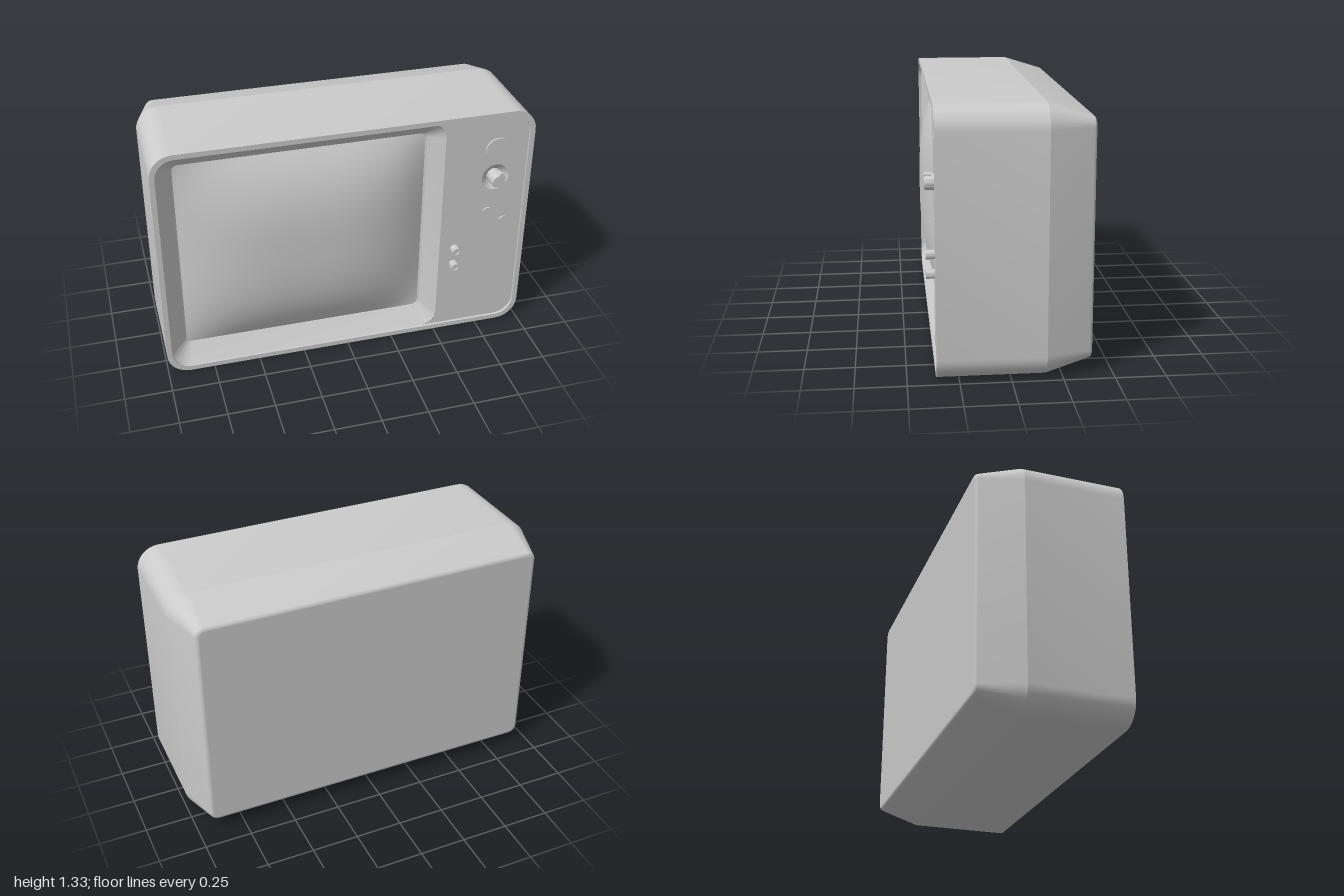
import * as THREE from 'three';
import { toCreasedNormals } from 'three/addons/utils/BufferGeometryUtils.js';

const grey = new THREE.MeshStandardMaterial({ color: 0xcccccc });
const ARC = 8; // segments per rounded corner

// Rounded rectangle outline, counter-clockwise; right and left corners may differ in radius
function outline(x0, x1, y0, y1, rRight, rLeft = rRight) {
  const corners = [
    [x1 - rRight, y0 + rRight, rRight, -90], [x1 - rRight, y1 - rRight, rRight, 0],
    [x0 + rLeft, y1 - rLeft, rLeft, 90], [x0 + rLeft, y0 + rLeft, rLeft, 180],
  ];
  const pts = [];
  for (const [cx, cy, r, start] of corners) {
    for (let i = 0; i <= ARC; i++) {
      const a = THREE.MathUtils.degToRad(start + 90 * i / ARC);
      pts.push(new THREE.Vector2(cx + r * Math.cos(a), cy + r * Math.sin(a)));
    }
  }
  return pts;
}

// Skin through equal-length outlines, each given as { pts, z }
function loft(sections) {
  const n = sections[0].pts.length, pos = [], index = [];
  for (const { pts, z } of sections) for (const p of pts) pos.push(p.x, p.y, z);
  for (let s = 0; s < sections.length - 1; s++) {
    for (let i = 0; i < n; i++) {
      const a = s * n + i, b = s * n + (i + 1) % n;
      index.push(a, b, b + n, a, b + n, a + n);
    }
  }
  const g = new THREE.BufferGeometry();
  g.setAttribute('position', new THREE.Float32BufferAttribute(pos, 3));
  g.setIndex(index);
  return toCreasedNormals(g, 0.25);
}

const TOP = 1.33, PANEL_Z = 0.345;

// Outline of the case shrunk by an inset
const caseSection = (inset, r, z) => ({ pts: outline(-1 + inset, 1 - inset, inset, TOP - inset, r), z });

export function createModel() {
  const model = new THREE.Group();
  const add = (name, geometry, parent = model) => {
    const mesh = new THREE.Mesh(geometry, grey);
    mesh.name = name;
    parent.add(mesh);
    return mesh;
  };

  // Case: rounded back edge, tapered rear, straight body, flat front rim and its inner wall
  const sections = [];
  for (let i = 0; i <= 6; i++) {
    const a = (i / 6) * 1.28;
    sections.push(caseSection(0.088 - 0.022 * Math.sin(a), 0.035 + 0.015 * i / 6, -0.378 - 0.022 * Math.cos(a)));
  }
  sections.push(
    caseSection(0, 0.12, -0.17), caseSection(0, 0.12, 0.36),
    caseSection(0.027, 0.1, 0.36), caseSection(0.027, 0.1, PANEL_Z),
  );
  add('case', loft(sections));
  add('backPanel', new THREE.ShapeGeometry(new THREE.Shape(sections[0].pts)).rotateY(Math.PI).translate(0, 0, -0.4));

  // Sloping surround of the screen
  add('screenSurround', loft([
    { pts: outline(-0.973, 0.515, 0.027, 1.303, 0.08, 0.1), z: PANEL_Z },
    { pts: outline(-0.89, 0.44, 0.115, 1.23, 0.035), z: 0.275 },
    { pts: outline(-0.88, 0.43, 0.122, 1.222, 0.03), z: 0.27 },
    { pts: outline(-0.88, 0.43, 0.122, 1.222, 0.03), z: 0.25 },
  ]));

  // Bulging screen
  const screen = new THREE.PlaneGeometry(1.31, 1.1, 20, 20);
  const p = screen.attributes.position;
  for (let i = 0; i < p.count; i++) {
    const u = Math.abs(p.getX(i)) / 0.655, v = Math.abs(p.getY(i)) / 0.55;
    p.setZ(i, 0.265 + 0.12 * (1 - u ** 3) * (1 - v ** 3));
  }
  screen.computeVertexNormals();
  add('screen', screen).position.set(-0.225, 0.672, 0);

  // Control panel beside the screen, with a hole for the dial dish
  const panel = new THREE.Shape();
  panel.moveTo(0.435, 0.027);
  panel.lineTo(0.873, 0.027);
  panel.absarc(0.873, 0.127, 0.1, -Math.PI / 2, 0, false);
  panel.absarc(0.873, 1.203, 0.1, 0, Math.PI / 2, false);
  panel.lineTo(0.435, 1.303);
  panel.absarc(0.435, 1.223, 0.08, Math.PI / 2, 0, true);
  panel.absarc(0.435, 0.107, 0.08, 0, -Math.PI / 2, true);
  const hole = new THREE.Path();
  hole.absarc(0.805, 0.945, 0.075, 0, Math.PI * 2, true);
  panel.holes.push(hole);
  add('controlPanel', new THREE.ShapeGeometry(panel, 12)).position.z = PANEL_Z;

  // Round control turned about the z axis, from [radius, z] points running back to front
  const turned = (name, x, y, profile, sides = 24) => {
    const g = new THREE.LatheGeometry(profile.map(([r, z]) => new THREE.Vector2(r, z)), sides);
    const mesh = add(name, toCreasedNormals(g.rotateX(Math.PI / 2), 0.5));
    mesh.position.set(x, y, PANEL_Z);
    return mesh;
  };
  turned('upperDial', 0.805, 1.11, [[0.069, 0], [0.069, 0.01], [0, 0.01]], 32);
  turned('dialDish', 0.805, 0.945, [[0, -0.025], [0.04, -0.025], [0.075, 0]], 32).material =
    new THREE.MeshStandardMaterial({ color: 0xcccccc, side: THREE.DoubleSide });
  turned('dialKnob', 0.805, 0.945, [[0.04, -0.025], [0.04, 0.045], [0.035, 0.056], [0, 0.056]], 12);
  turned('knobPointer', 0.815, 0.982, [[0.012, 0.02], [0.012, 0.056], [0, 0.056]], 10);

  // Oval push buttons
  for (const [x, y] of [[0.775, 0.742], [0.873, 0.672]]) {
    turned('pushButton', x, y, [[0.026, 0], [0.026, 0.008], [0, 0.008]]).scale.y = 0.7;
  }

  // Small pegs with hollow ends
  for (const y of [0.525, 0.423]) {
    turned('peg', 0.6, y, [[0.024, 0], [0.024, 0.045], [0.015, 0.045], [0.015, 0.035], [0, 0.035]], 16);
  }
  return model;
}
